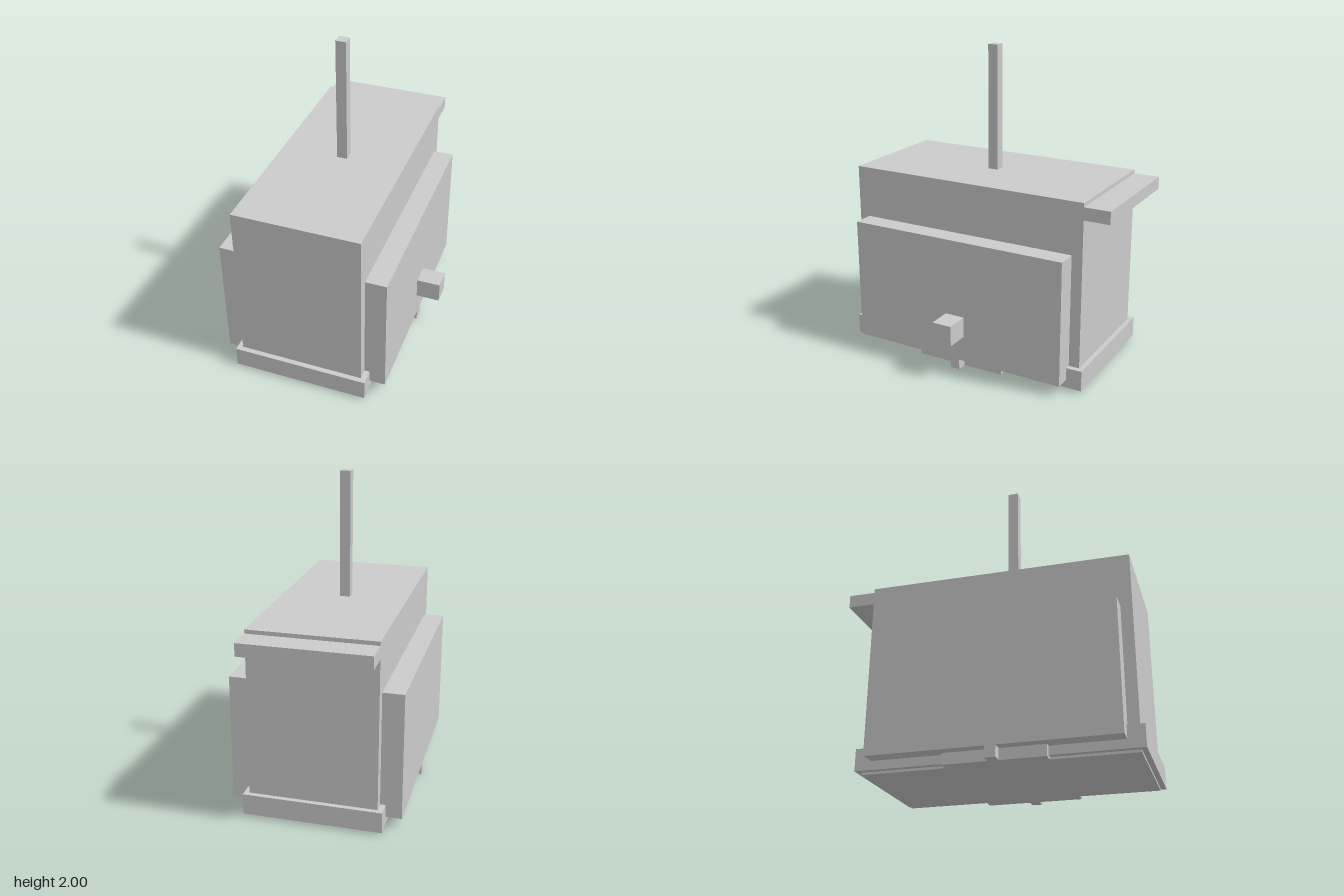
import * as THREE from 'three';

export function createModel() {
  const model = new THREE.Group();
  const material = new THREE.MeshStandardMaterial({ color: 0xcccccc, flatShading: true });

  // Box given by its extents along each axis
  function block(name, [x0, x1], [y0, y1], [z0, z1]) {
    const mesh = new THREE.Mesh(new THREE.BoxGeometry(x1 - x0, y1 - y0, z1 - z0), material);
    mesh.position.set((x0 + x1) / 2, (y0 + y1) / 2, (z0 + z1) / 2);
    mesh.name = name;
    model.add(mesh);
  }

  const cx = -0.077; // centre line of the body
  const across = (half) => [cx - half, cx + half];

  // Main housing and the skirt around its foot
  block('body', across(0.398), [0, 1.2], [-0.735, 0.868]);
  block('baseSkirt', across(0.432), [0.015, 0.147], [-0.766, 0.9]);

  // Raised panel on each flank
  block('leftPanel', [cx + 0.398, cx + 0.531], [0.068, 0.868], [-0.666, 0.799]);
  block('rightPanel', [cx - 0.531, cx - 0.398], [0.068, 0.868], [-0.666, 0.799]);

  // Undercarriage: wide centre block and narrow crossbar
  block('underBlock', across(0.465), [0, 0.12], [-0.23, 0.37]);
  block('crossbar', across(0.531), [0, 0.068], [0.036, 0.1]);

  // Rear ledge, side knob and mast
  block('rearLedge', across(0.398), [1.095, 1.175], [-0.9, -0.735]);
  block('sideKnob', [cx + 0.531, 0.606], [0.238, 0.37], [0, 0.13]);
  block('mast', across(0.033), [1.2, 2], [0.034, 0.1]);

  return model;
}
